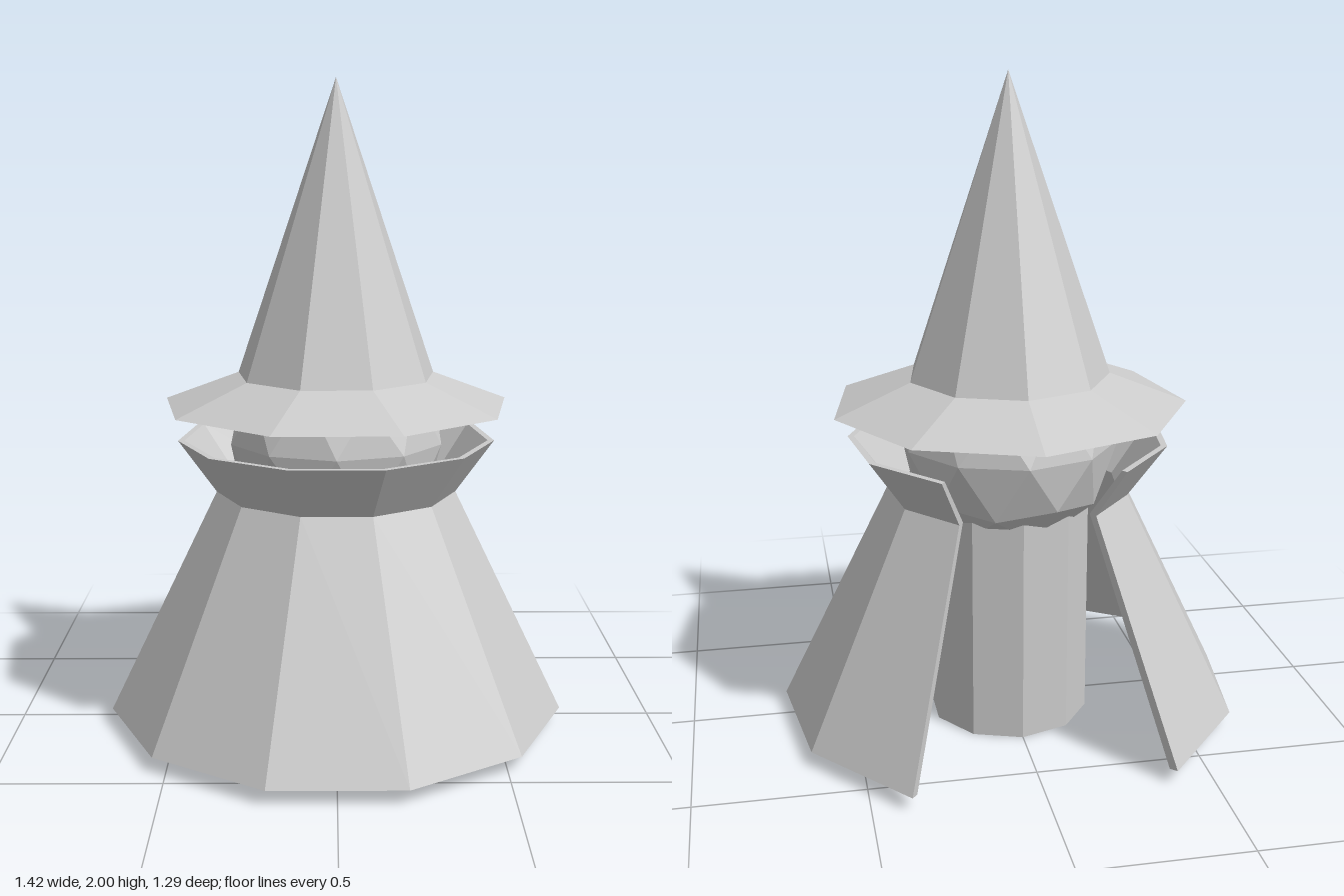
import * as THREE from 'three';

const grey = new THREE.MeshStandardMaterial({ color: 0xcccccc, flatShading: true, side: THREE.DoubleSide });

function part(name, geometry, parent, y = 0) {
  const mesh = new THREE.Mesh(geometry, grey);
  mesh.name = name;
  mesh.position.y = y;
  parent.add(mesh);
  return mesh;
}

const points = (list) => list.map(([r, y]) => new THREE.Vector2(r, y));

export function createModel() {
  const model = new THREE.Group();
  model.name = 'hoodedFigure';
  // All parts share one axis, set slightly behind the origin
  const figure = new THREE.Group();
  figure.name = 'figure';
  figure.position.z = -0.043;
  model.add(figure);

  // Ten-sided body post
  part('body', new THREE.CylinderGeometry(0.25, 0.25, 0.7, 10), figure, 0.35);

  // Faceted head with a vertex pointing straight up
  const head = new THREE.IcosahedronGeometry(0.338, 1);
  head.rotateZ(-Math.atan(2 / (1 + Math.sqrt(5))));
  part('head', head, figure, 0.9);

  // Pointed hat with a sloping nine-sided brim, open underneath
  const hat = points([[0.545, 1.01], [0.31, 1.1], [0, 2]]);
  part('hat', new THREE.LatheGeometry(hat, 9, Math.PI, Math.PI * 2), figure);

  // Cloak and collar: nine of eleven sides, leaving the back open
  const side = (Math.PI * 2) / 11;
  const start = -4.5 * side;
  const section = [
    [0.715, 0.045], [0.375, 0.74], [0.492, 0.905],
    [0.472, 0.905], [0.349, 0.74], [0.685, 0.04],
  ];
  const cloak = new THREE.Group();
  cloak.name = 'cloak';
  figure.add(cloak);
  part('cloakShell', new THREE.LatheGeometry(points([...section, section[0]]), 9, start, 9 * side), cloak);

  // Caps closing the thickness at both sides of the opening
  for (const [name, phi] of [['rightCloakEdge', start], ['leftCloakEdge', -start]]) {
    const cap = new THREE.ShapeGeometry(new THREE.Shape(points(section)));
    cap.rotateY(phi - Math.PI / 2);
    part(name, cap, cloak);
  }

  return model;
}
